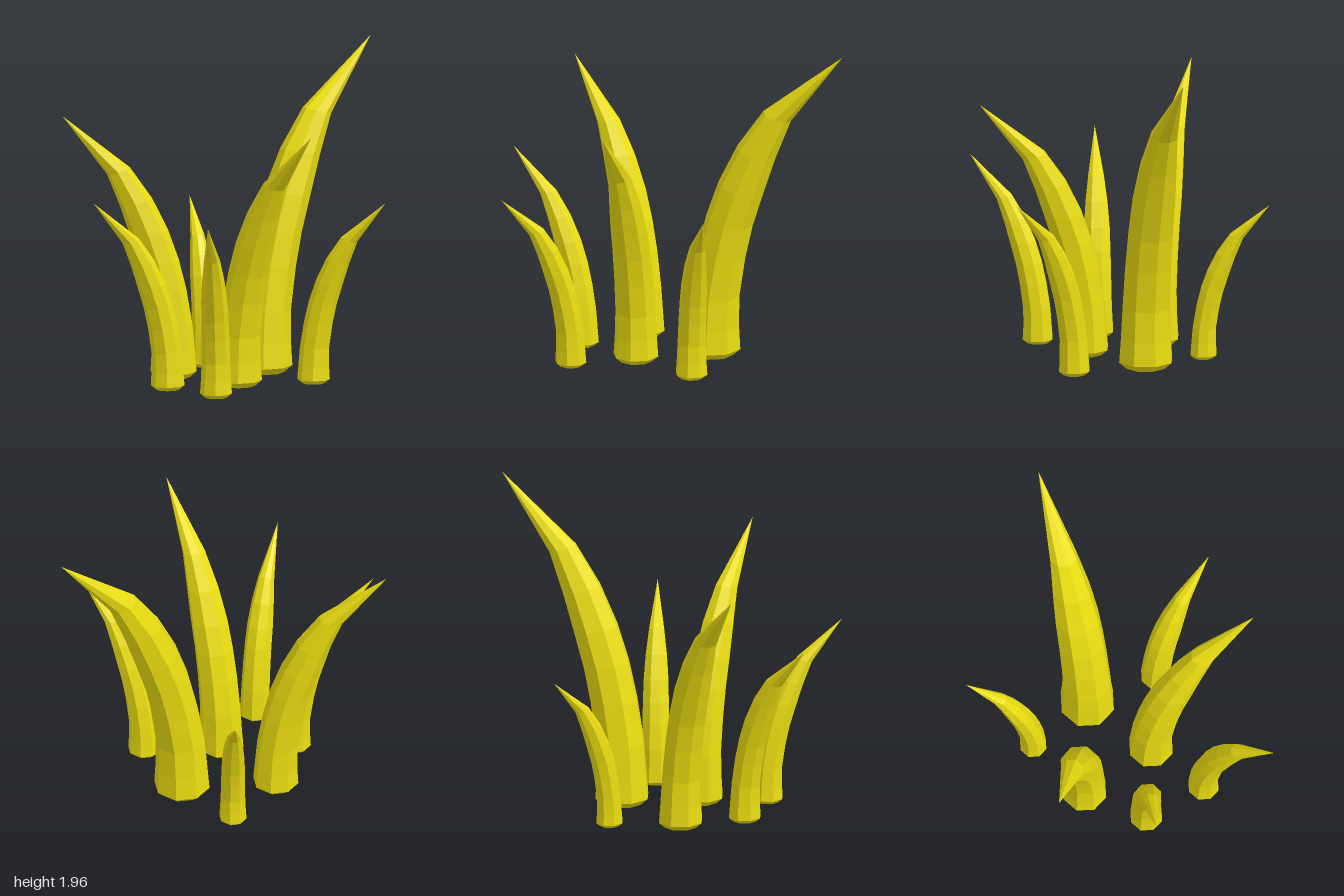
import * as THREE from 'three';

// Blade of unit height: [radius, height, lean, ring tilt]
const RINGS = [
  [0, 0, 0, 0],
  [0.062, 0.007, 0, 0],
  [0.086, 0.028, 0, 0],
  [0.081, 0.1, 0.001, 0],
  [0.077, 0.2, 0.006, 0.04],
  [0.075, 0.33, 0.027, 0.1],
  [0.073, 0.44, 0.053, 0.15],
  [0.070, 0.55, 0.09, 0.2],
  [0.060, 0.67, 0.14, 0.25],
  [0.043, 0.79, 0.206, 0.3],
  [0, 1, 0.416, 0],
];

// Base x, base z, tip x, tip z, height
const BLADES = [
  ['tallBladeLeft', 0.225, -0.17, 0.99, -0.42, 1.96],
  ['bladeBackRight', -0.335, -0.215, -0.98, -0.4, 1.6],
  ['bladeCenterFront', -0.075, 0.195, 0.145, 0.82, 1.6],
  ['smallBladeRight', -0.51, 0.145, -1, 0.18, 1.17],
  ['smallBladeFrontRight', -0.335, 0.495, -0.54, 0.9, 1.11],
  ['smallBladeFrontLeft', 0.38, 0.25, 0.715, 0.58, 1.13],
  ['smallBladeBack', -0.025, -0.505, 0.03, -0.905, 0.97],
];

// Eight-sided tapering stalk, bent outwards along direction (dx, dz)
function bladeGeometry(dx, dz) {
  const profile = RINGS.map(([r, y]) => new THREE.Vector2(r, y));
  const geo = new THREE.LatheGeometry(profile, 8, Math.PI / 8);
  const pos = geo.attributes.position;
  for (let i = 0; i < pos.count; i++) {
    const [, , lean, tilt] = RINGS[i % RINGS.length];
    const x = pos.getX(i), z = pos.getZ(i);
    pos.setXYZ(i, x + dx * lean, pos.getY(i) - tilt * (x * dx + z * dz), z + dz * lean);
  }
  geo.computeVertexNormals();
  return geo;
}

export function createModel() {
  const group = new THREE.Group();
  group.name = 'grassTuft';
  const material = new THREE.MeshStandardMaterial({ color: 0xeadd10, flatShading: true });
  for (const [name, x, z, tipX, tipZ, height] of BLADES) {
    const angle = Math.atan2(tipZ - z, tipX - x);
    const blade = new THREE.Mesh(bladeGeometry(Math.cos(angle), Math.sin(angle)), material);
    blade.name = name;
    blade.position.set(x, 0, z);
    blade.scale.setScalar(height);
    group.add(blade);
  }
  return group;
}
